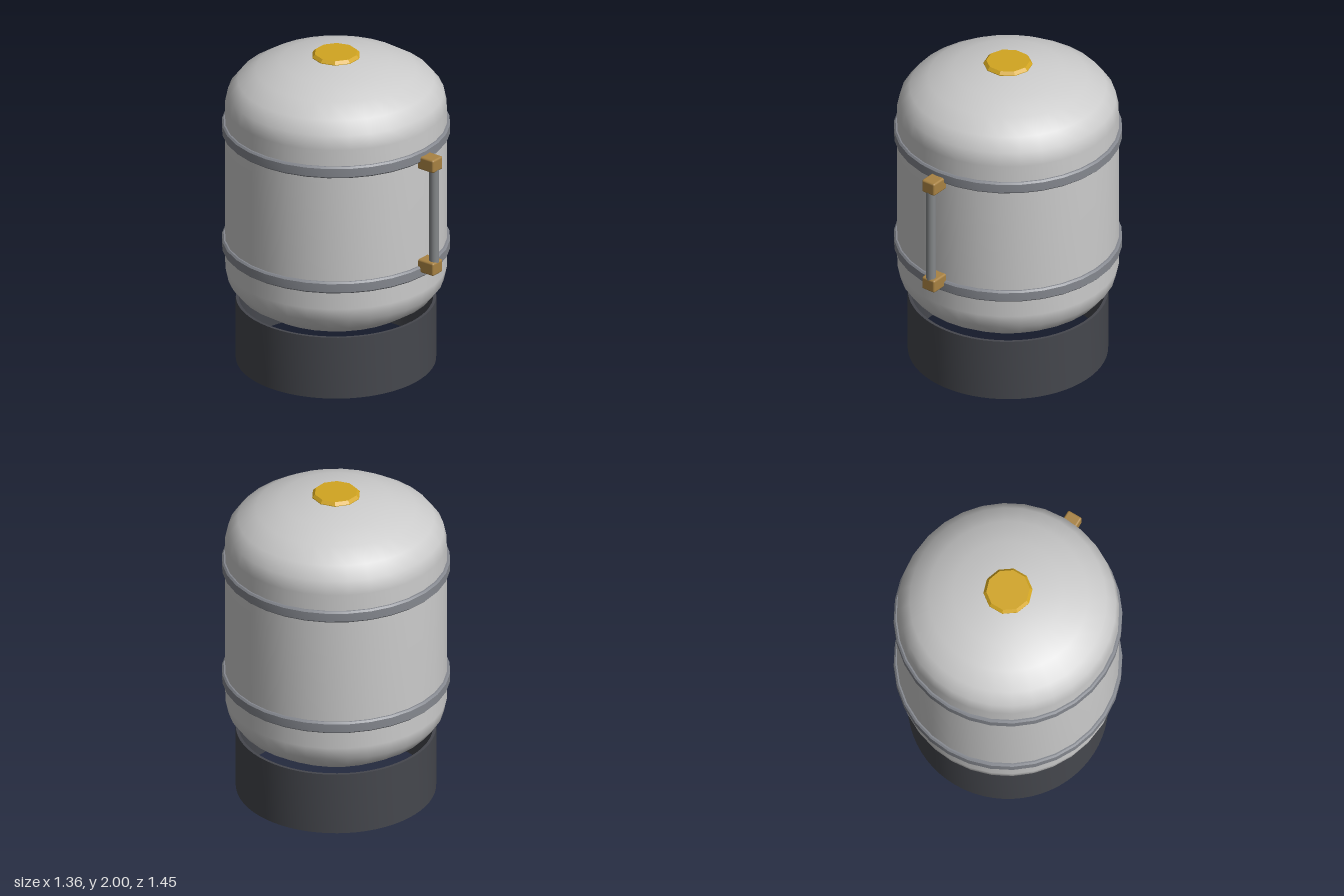
import * as THREE from 'three';
import { toCreasedNormals } from 'three/addons/utils/BufferGeometryUtils.js';
import { RoundedBoxGeometry } from 'three/addons/geometries/RoundedBoxGeometry.js';

const AXIS_Z = -0.045; // vertical axis of the tank

const mat = (color) => new THREE.MeshStandardMaterial({ color });
const lathe = (points, sides) =>
  new THREE.LatheGeometry(points.map(([r, y]) => new THREE.Vector2(r, y)), sides);

export function createModel() {
  const model = new THREE.Group();
  model.name = 'tank';
  const steel = mat(0xcccccc);
  const bandMetal = mat(0x85888f);
  const dark = mat(0x45474d);
  const rodMetal = mat(0x85888a);
  const brass = mat(0xa88243);
  const gold = mat(0xd2a520);

  function add(name, geometry, material, x, y, z) {
    const mesh = new THREE.Mesh(geometry, material);
    mesh.name = name;
    mesh.position.set(x, y, z);
    model.add(mesh);
    return mesh;
  }

  // Tank body: upper dome profile mirrored for the lower dome
  const dome = [[0.663, 1.66], [0.645, 1.745], [0.587, 1.82], [0.477, 1.89],
    [0.33, 1.945], [0.16, 1.977], [0, 1.988]];
  const lower = dome.map(([r, y]) => [r, 2.275 - y]).reverse();
  add('tankBody', lathe([...lower, ...dome], 32), steel, 0, 0, AXIS_Z);

  // Chamfered bands around the body
  const h = 0.037, c = 0.01, R = 0.682, r = 0.645;
  const band = toCreasedNormals(lathe([[r, -h], [R - c, -h], [R, -h + c],
    [R, h - c], [R - c, h], [r, h], [r, -h]], 32), 0.5);
  add('lowerBand', band, bandMetal, 0, 0.762, AXIS_Z);
  add('upperBand', band, bandMetal, 0, 1.518, AXIS_Z);

  // Hollow base ring, open at both ends
  const ring = toCreasedNormals(
    lathe([[0.598, 0], [0.598, 0.4], [0.58, 0.4], [0.58, 0], [0.598, 0]], 64), 0.5);
  add('baseRing', ring, dark, 0, 0, AXIS_Z);

  // Ten-sided cap with a bevelled top edge
  const cap = toCreasedNormals(lathe([[0, 1.94], [0.147, 1.94], [0.147, 1.982],
    [0.13, 2], [0, 2]], 10), 0.3);
  cap.rotateY(Math.PI / 2);
  add('topCap', cap, gold, 0, 0, AXIS_Z);

  // Front handle: two mounting blocks and an upright rod
  const block = new RoundedBoxGeometry(0.096, 0.084, 0.125, 2, 0.012);
  add('lowerHandleMount', block, brass, 0, 0.802, 0.6645);
  add('upperHandleMount', block, brass, 0, 1.478, 0.6645);
  add('handleRod', new THREE.CylinderGeometry(0.03, 0.03, 0.66, 16), rodMetal, 0, 1.14, 0.697);

  return model;
}
